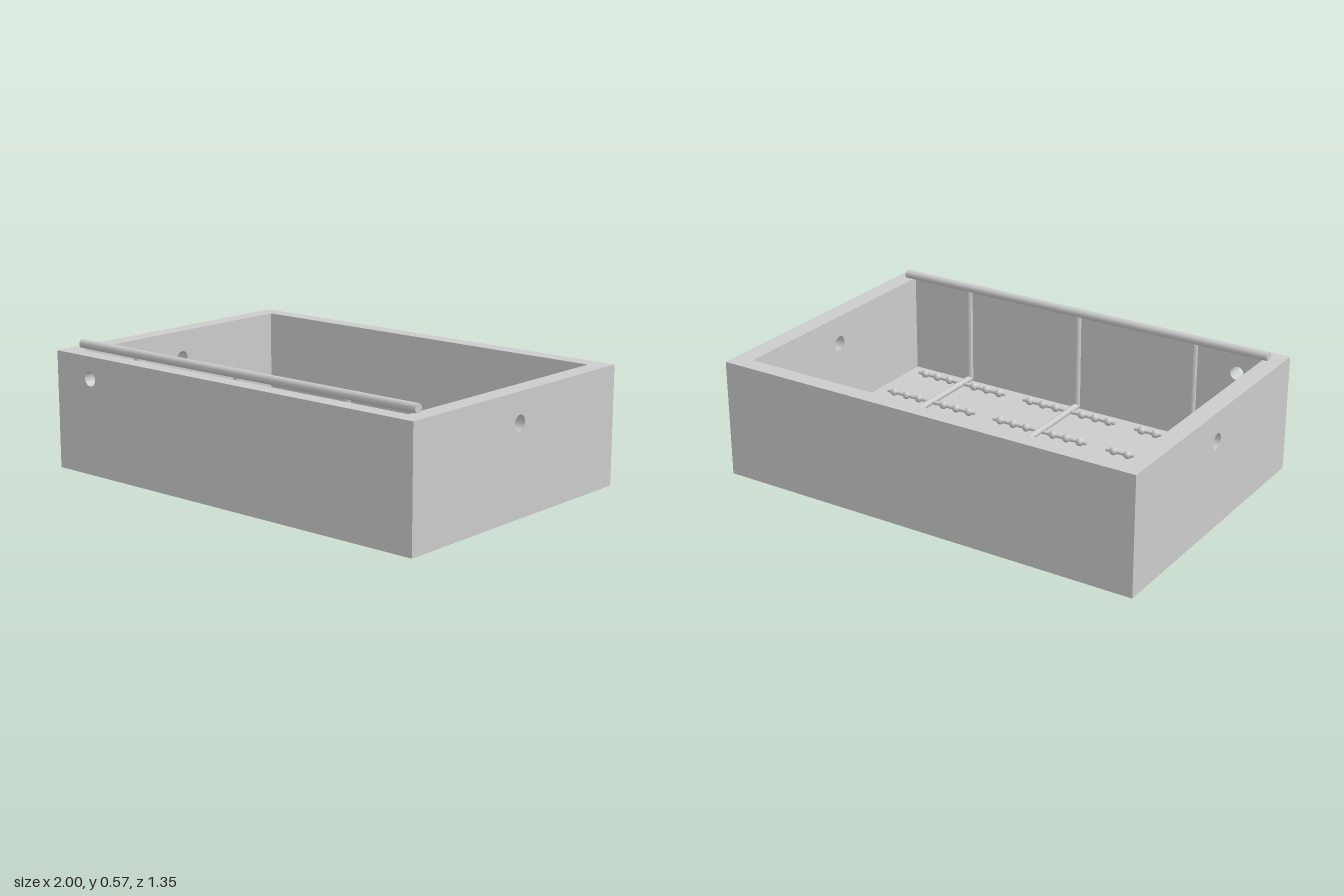
import * as THREE from 'three';

const W = 1, D = 0.677, H = 0.53;      // half width, half depth, height
const IX = 0.916, IZ = 0.601, FLOOR = 0.07;
const PIPE_Y = FLOOR + 0.022;

export function createModel() {
  const model = new THREE.Group();
  const mat = new THREE.MeshStandardMaterial({ color: 0xcccccc });

  const add = (geo, name, x = 0, y = 0, z = 0, parent = model) => {
    const m = new THREE.Mesh(geo, mat);
    m.name = name;
    m.position.set(x, y, z);
    parent.add(m);
    return m;
  };
  // Cylinder along a chosen axis
  const rod = (r, len, axis, sides = 20) => {
    const g = new THREE.CylinderGeometry(r, r, len, sides);
    if (axis === 'x') g.rotateZ(Math.PI / 2);
    if (axis === 'z') g.rotateX(Math.PI / 2);
    return g;
  };
  // Upright wall, optionally with a round port, centred on its thickness
  const wall = (half, thick, port) => {
    const s = new THREE.Shape();
    s.moveTo(-half, 0).lineTo(half, 0).lineTo(half, H).lineTo(-half, H).closePath();
    if (port) s.holes.push(new THREE.Path().absarc(port.x, port.y, port.r, 0, Math.PI * 2, true));
    return new THREE.ExtrudeGeometry(s, { depth: thick, bevelEnabled: false, curveSegments: 32 })
      .translate(0, 0, -thick / 2);
  };

  // Tank
  const tank = new THREE.Group();
  tank.name = 'tank';
  model.add(tank);
  add(new THREE.BoxGeometry(2 * IX, FLOOR, 2 * IZ), 'floor', 0, FLOOR / 2, 0, tank);
  add(wall(W, D - IZ, { x: -0.79, y: 0.43, r: 0.032 }), 'frontWall', 0, 0, (D + IZ) / 2, tank);
  add(wall(W, D - IZ), 'backWall', 0, 0, -(D + IZ) / 2, tank);
  for (const s of [-1, 1]) {
    const side = add(wall(IZ, W - IX, { x: 0, y: 0.4, r: 0.034 }),
      s > 0 ? 'leftWall' : 'rightWall', s * (W + IX) / 2, 0, 0, tank);
    side.rotation.y = Math.PI / 2;
  }

  // Header pipe along the front rim
  const pz = 0.578, headerY = 0.553;
  add(rod(0.02, 1.89, 'x', 24), 'headerPipe', 0, headerY, pz);

  // Three drop lines, each with a floor pipe and beaded cross pipes
  const bead = new THREE.SphereGeometry(0.019, 16, 10);
  for (const x of [-0.592, 0, 0.592]) {
    const line = new THREE.Group();
    line.name = 'distributionLine';
    line.position.x = x;
    model.add(line);
    add(rod(0.015, headerY - PIPE_Y, 'y'), 'dropPipe', 0, (headerY + PIPE_Y) / 2, pz, line);
    add(new THREE.SphereGeometry(0.015, 16, 10), 'elbow', 0, PIPE_Y, pz, line);
    add(rod(0.015, pz + 0.54, 'z'), 'floorPipe', 0, PIPE_Y, (pz - 0.54) / 2, line);
    add(rod(0.021, 0.03, 'z'), 'endCap', 0, PIPE_Y, -0.545, line);
    for (let i = -2; i <= 2; i++) {
      const z = i * 0.253;
      add(rod(0.009, 0.49, 'x', 12), 'crossPipe', 0, PIPE_Y, z, line);
      for (const k of [-3, -2, -1, 1, 2, 3])
        add(bead, 'diffuser', k * 0.07, PIPE_Y, z, line);
    }
  }
  return model;
}
